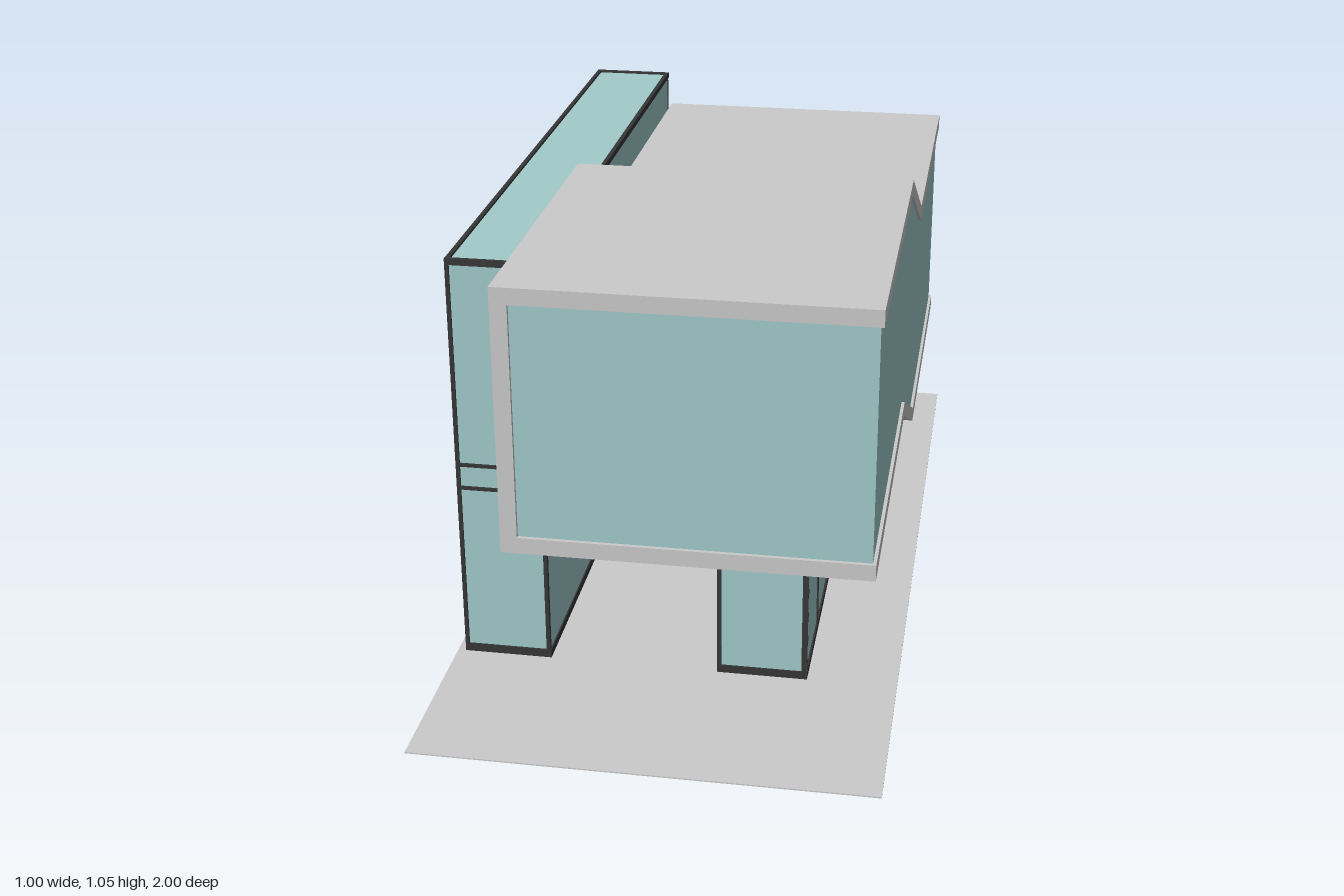
import * as THREE from 'three';

export function createModel() {
  const mat = (name, color) => {
    const m = new THREE.MeshStandardMaterial({ color });
    m.name = name;
    return m;
  };
  const concrete = mat('concrete', 0xcbcbcb);
  const glass = mat('glass', 0xa2cbcb);
  const metal = mat('dark metal', 0x363636);
  const crystal = mat('crystal', 0xdcdcdc);

  const root = new THREE.Group();
  const group = (name) => {
    const g = new THREE.Group();
    g.name = name;
    root.add(g);
    return g;
  };
  const add = (parent, name, geo, material) => {
    const m = new THREE.Mesh(geo, material);
    m.name = name;
    parent.add(m);
    return m;
  };
  // Box given by its limits on each axis
  const box = (parent, name, material, x0, x1, y0, y1, z0, z1) => {
    const g = new THREE.BoxGeometry(x1 - x0, y1 - y0, z1 - z0);
    g.translate((x0 + x1) / 2, (y0 + y1) / 2, (z0 + z1) / 2);
    return add(parent, name, g, material);
  };
  // Underside of the upper storey: high at the front, ramp, low at the back
  const under = (z) => 0.29 + 0.192 * THREE.MathUtils.clamp((z + 0.19) / 0.39, 0, 1);
  // Side profile between two height rules, extruded from x0 to x1
  const band = (parent, name, material, x0, x1, zFront, zBack, low, high) => {
    const zs = [zFront, 0.2, -0.19, zBack];
    const pts = zs.map((z) => new THREE.Vector2(-z, low(z)));
    zs.reverse().forEach((z) => pts.push(new THREE.Vector2(-z, high(z))));
    const g = new THREE.ExtrudeGeometry(new THREE.Shape(pts), { depth: x1 - x0, bevelEnabled: false });
    g.rotateY(Math.PI / 2).translate(x0, 0, 0);
    return add(parent, name, g, material);
  };
  const raise = (d) => (z) => under(z) + d;

  // Ground plate
  box(root, 'groundPlate', concrete, -0.5, 0.5, 0, 0.003, -1, 1);

  // Upper storey: concrete floor, roof and left wall, glazed on three sides
  const upper = group('upperStorey');
  band(upper, 'floorSlab', concrete, -0.28, 0.47, 0.97, -0.97, raise(0), raise(0.035));
  band(upper, 'roofSlab', concrete, -0.28, 0.47, 0.97, -0.97, raise(0.533), raise(0.568));
  band(upper, 'sideWall', concrete, -0.28, -0.245, 0.97, -0.97, raise(0.035), raise(0.533));
  band(upper, 'sideGlass', glass, 0.455, 0.463, 0.962, -0.962, raise(0.035), raise(0.533));
  box(upper, 'frontGlass', glass, -0.245, 0.456, 0.517, 1.015, 0.954, 0.962);
  box(upper, 'backGlass', glass, -0.245, 0.456, 0.325, 0.823, -0.962, -0.954);

  // Tall glazed wing along the left side
  const zF = 0.59, zB = -0.94;
  const tower = group('glassWing');
  box(tower, 'wingGlass', glass, -0.477, -0.285, 0.004, 0.95, zB + 0.004, zF - 0.004);
  const hoop = (name, y0, y1, right) => {
    box(tower, name, metal, -0.482, -0.472, y0, y1, zB, zF);
    box(tower, name, metal, -0.482, -0.283, y0, y1, zF - 0.01, zF);
    box(tower, name, metal, -0.482, -0.283, y0, y1, zB, zB + 0.01);
    if (right) box(tower, name, metal, -0.292, -0.282, y0, y1, zB, zF);
  };
  hoop('baseFrame', 0.003, 0.022, true);
  hoop('lowerRail', 0.414, 0.422, false);
  hoop('upperRail', 0.47, 0.478, false);
  hoop('topFrame', 0.941, 0.955, true);
  for (let i = 0; i <= 6; i++) {
    const z = zB + 0.006 + ((zF - zB - 0.012) * i) / 6;
    box(tower, 'sideMullion', metal, -0.482, -0.473, 0.003, 0.955, z - 0.006, z + 0.006);
  }
  for (const z of [zB, zF - 0.01]) {
    box(tower, 'cornerPost', metal, -0.293, -0.284, 0.003, 0.955, z, z + 0.01);
  }

  // Ground storey: side, front and back glazing under the upper storey
  const lower = group('groundStorey');
  band(lower, 'sideGlass', glass, 0.288, 0.296, zF - 0.004, zB + 0.004, () => 0.004, raise(-0.001));
  band(lower, 'sideTopRail', metal, 0.286, 0.3, zF, zB, raise(-0.009), raise(-0.001));
  box(lower, 'sideBaseRail', metal, 0.286, 0.3, 0.003, 0.022, zB, zF);
  for (let i = 0; i <= 7; i++) {
    const z = zB + 0.006 + ((zF - zB - 0.012) * i) / 7;
    box(lower, 'sideMullion', metal, 0.287, 0.299, 0.003, under(z) - 0.005, z - 0.006, z + 0.006);
  }
  // One glazed wall across x, with posts at the given positions
  const crossWall = (name, x0, x1, z0, top, posts) => {
    box(lower, name + 'Glass', glass, x0, x1, 0.004, top, z0 + 0.002, z0 + 0.008);
    box(lower, name + 'TopRail', metal, x0, x1, top - 0.008, top, z0, z0 + 0.01);
    box(lower, name + 'BaseRail', metal, x0, x1, 0.003, 0.022, z0, z0 + 0.01);
    for (const x of posts) {
      box(lower, name + 'Post', metal, x - 0.005, x + 0.005, 0.003, top, z0, z0 + 0.01);
    }
  };
  crossWall('front', 0.097, 0.3, zF - 0.01, 0.478, [0.102, 0.295]);
  crossWall('back', -0.285, 0.3, zB, 0.287, [-0.28, -0.093, 0.102, 0.295]);

  // Hanging lamp in the open entrance: three rings with crystal rods
  const lamp = group('hangingLamp');
  lamp.position.set(0.005, 0, 0.38);
  const stem = new THREE.CylinderGeometry(0.002, 0.002, 0.112, 8);
  add(lamp, 'stem', stem, metal).position.y = 0.426;
  [[0.16, 0.432, 24], [0.095, 0.4, 18], [0.063, 0.371, 14]].forEach(([r, y, n]) => {
    const ring = add(lamp, 'ring', new THREE.TorusGeometry(r - 0.003, 0.003, 6, 32), metal);
    ring.rotation.x = Math.PI / 2;
    ring.position.y = y;
    for (let i = 0; i < 2; i++) {
      const spoke = add(lamp, 'spoke', new THREE.BoxGeometry(2 * r - 0.006, 0.003, 0.003), metal);
      spoke.position.y = y;
      spoke.rotation.y = (i * Math.PI) / 2;
    }
    for (let i = 0; i < n; i++) {
      const a = ((i + 0.3) / n) * Math.PI * 2;
      const rod = add(lamp, 'crystalRod', new THREE.CylinderGeometry(0.0015, 0.0015, 0.028, 6), crystal);
      rod.position.set(Math.cos(a) * (r - 0.003), y - 0.016, Math.sin(a) * (r - 0.003));
    }
  });

  return root;
}
